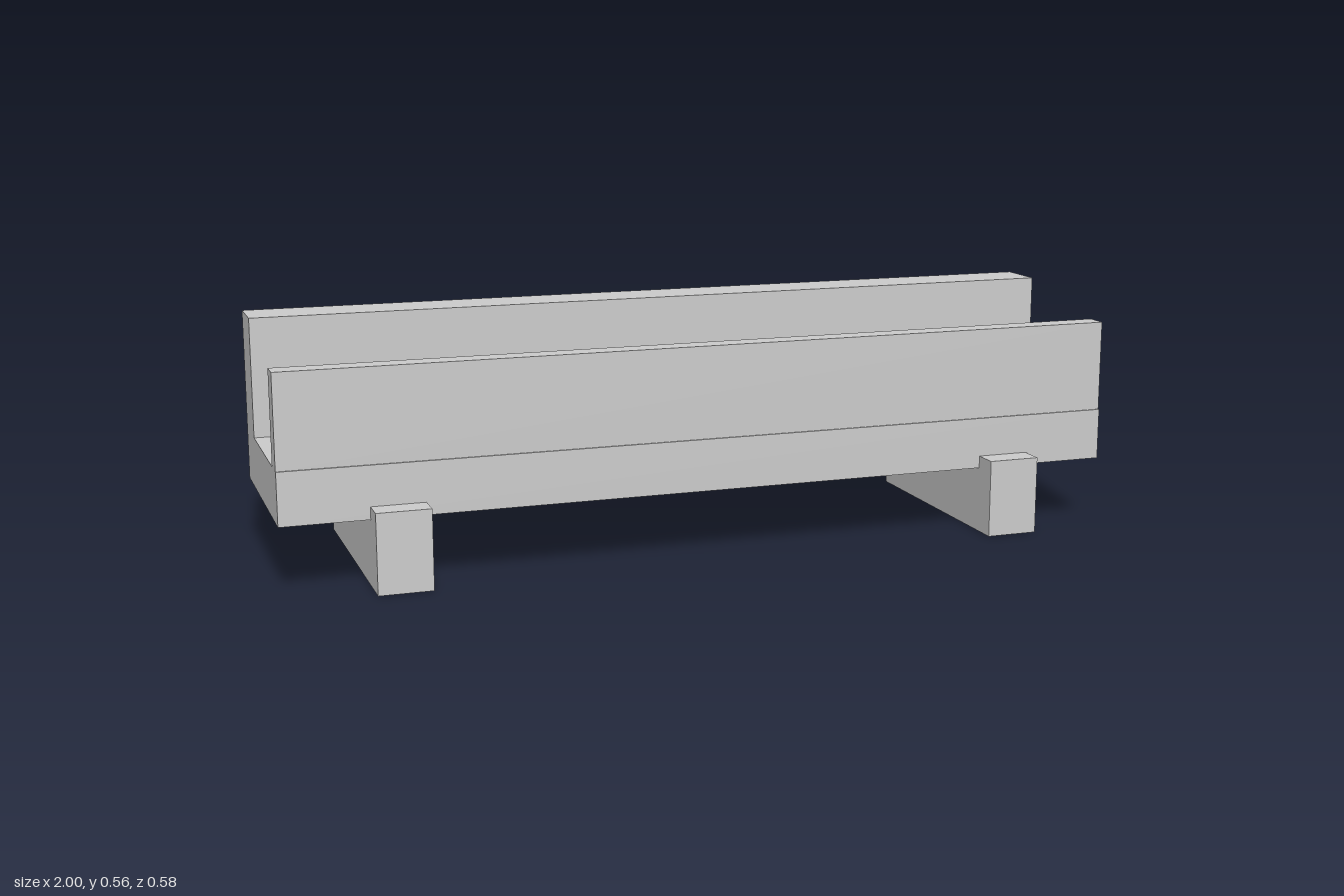
import * as THREE from 'three';

const material = new THREE.MeshStandardMaterial({ color: 0xcccccc, flatShading: true });

// Box given by its minimum and maximum on each axis
function block(name, [x0, x1], [y0, y1], [z0, z1]) {
  const mesh = new THREE.Mesh(new THREE.BoxGeometry(x1 - x0, y1 - y0, z1 - z0), material);
  mesh.position.set((x0 + x1) / 2, (y0 + y1) / 2, (z0 + z1) / 2);
  mesh.name = name;
  return mesh;
}

export function createModel() {
  const group = new THREE.Group();
  group.name = 'trough';

  // Channel: floor, tall back wall and thin front wall as one profile (z, y)
  const profile = [
    [0.232, 0.156], [0.232, 0.278], [0.228, 0.278], [0.228, 0.494],
    [0.175, 0.494], [0.175, 0.278], [-0.123, 0.278], [-0.123, 0.556],
    [-0.245, 0.556], [-0.245, 0.156],
  ];
  const shape = new THREE.Shape(profile.map(([z, y]) => new THREE.Vector2(-z, y)));
  const geometry = new THREE.ExtrudeGeometry(shape, { depth: 2, bevelEnabled: false });
  geometry.translate(0, 0, -1).rotateY(Math.PI / 2);
  const channel = new THREE.Mesh(geometry, material);
  channel.name = 'channel';
  group.add(channel);

  // Low rail along the channel floor
  group.add(block('floorRail', [-0.86, 0.86], [0.27, 0.327], [0.028, 0.081]));

  // Cross feet at both ends
  for (const [name, x] of [['leftFoot', 0.738], ['rightFoot', -0.738]]) {
    group.add(block(name, [x - 0.062, x + 0.062], [0, 0.185], [-0.292, 0.292]));
  }
  return group;
}
